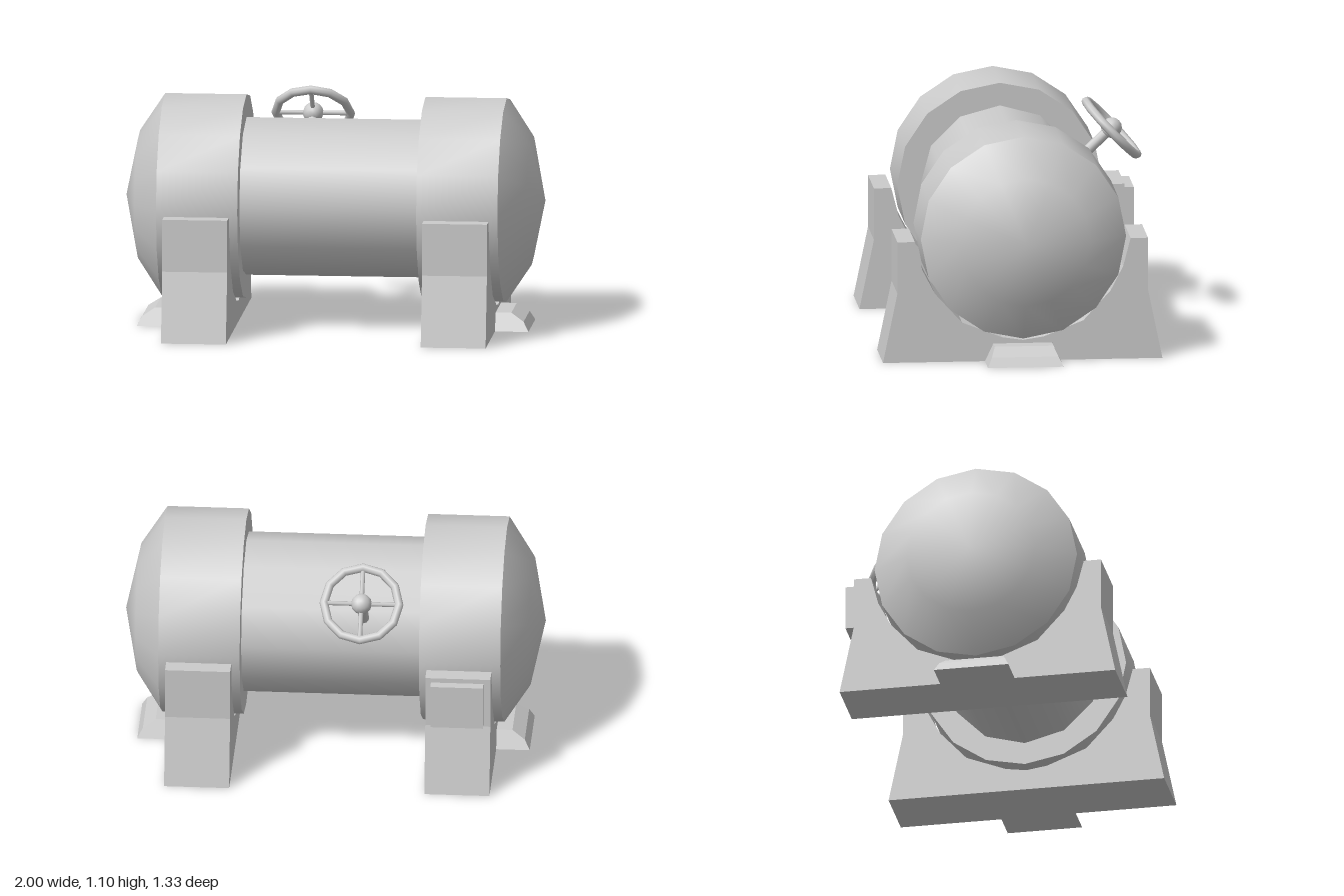
import * as THREE from 'three';
import { toCreasedNormals } from 'three/addons/utils/BufferGeometryUtils.js';

const material = new THREE.MeshStandardMaterial({ color: 0xcccccc });
const AXIS_Y = 0.605;

function add(parent, name, geometry) {
  const mesh = new THREE.Mesh(geometry, material);
  mesh.name = name;
  parent.add(mesh);
  return mesh;
}

// Extrude a closed outline, centred on its depth
function slab(points, depth) {
  const shape = new THREE.Shape(points.map(([x, y]) => new THREE.Vector2(x, y)));
  return new THREE.ExtrudeGeometry(shape, { depth, bevelEnabled: false }).translate(0, 0, -depth / 2);
}

// Cap, saddle and foot of one end, built towards +x
function createEnd(name) {
  const end = new THREE.Group();
  end.name = name;

  // Collar with domed end
  const profile = [[0, 0.427], [0.49, 0.427], [0.49, 0.815], [0.31, 0.935], [0, 1]];
  const lathe = new THREE.LatheGeometry(profile.map(([r, y]) => new THREE.Vector2(r, y)), 16);
  add(end, 'domedCap', toCreasedNormals(lathe.rotateZ(-Math.PI / 2), 0.7)).position.y = AXIS_Y;

  // Cradle saddle: half outline from the base up and round to the bottom of the cradle
  const half = [[0.667, 0], [0.598, 0.335], [0.598, 0.585], [0.515, 0.585], [0.48, 0.45],
    [0.42, 0.333], [0.29, 0.19], [0.1, 0.115]];
  const outline = [...half, [0, 0.1], ...half.map(([z, y]) => [-z, y]).reverse()];
  add(end, 'saddle', slab(outline, 0.31).rotateY(-Math.PI / 2)).position.x = 0.62;

  // Small foot, its sides leaning inwards with height
  const foot = slab([[0.7, 0], [0.935, 0], [0.91, 0.045], [0.85, 0.085], [0.7, 0.085]], 0.36);
  const p = foot.attributes.position;
  for (let i = 0; i < p.count; i++) p.setZ(i, p.getZ(i) * (1 - 2.6 * p.getY(i)));
  foot.computeVertexNormals();
  add(end, 'foot', foot);
  return end;
}

// Wheel lying in its local xz plane, with the stem running down local -y
function createHandwheel() {
  const wheel = new THREE.Group();
  wheel.name = 'handwheel';
  add(wheel, 'rim', new THREE.TorusGeometry(0.179, 0.021, 8, 12).rotateX(Math.PI / 2));
  add(wheel, 'hub', new THREE.SphereGeometry(0.05, 12, 8));
  add(wheel, 'stem', new THREE.CylinderGeometry(0.025, 0.025, 0.28, 10)).position.y = -0.14;
  for (let i = 0; i < 4; i++) {
    const spoke = new THREE.CylinderGeometry(0.011, 0.011, 0.175, 6);
    spoke.rotateZ(-Math.PI / 2).translate(0.0875, 0, 0).rotateY(i * Math.PI / 2);
    add(wheel, 'spoke', spoke);
  }
  wheel.position.set(-0.155, 0.925, -0.508);
  wheel.rotation.x = -Math.PI / 4 - 0.03;
  return wheel;
}

export function createModel() {
  const model = new THREE.Group();
  model.name = 'tank';

  // Narrower middle barrel
  const barrel = new THREE.CylinderGeometry(0.38, 0.38, 0.88, 12).rotateZ(-Math.PI / 2);
  add(model, 'barrel', barrel).position.y = AXIS_Y;

  // Two matching ends
  model.add(createEnd('leftEnd'));
  const rightEnd = createEnd('rightEnd');
  rightEnd.rotation.y = Math.PI;
  model.add(rightEnd);

  // Box on the back of the right saddle
  add(model, 'controlBox', new THREE.BoxGeometry(0.25, 0.215, 0.06)).position.set(-0.617, 0.455, -0.615);

  model.add(createHandwheel());
  return model;
}
